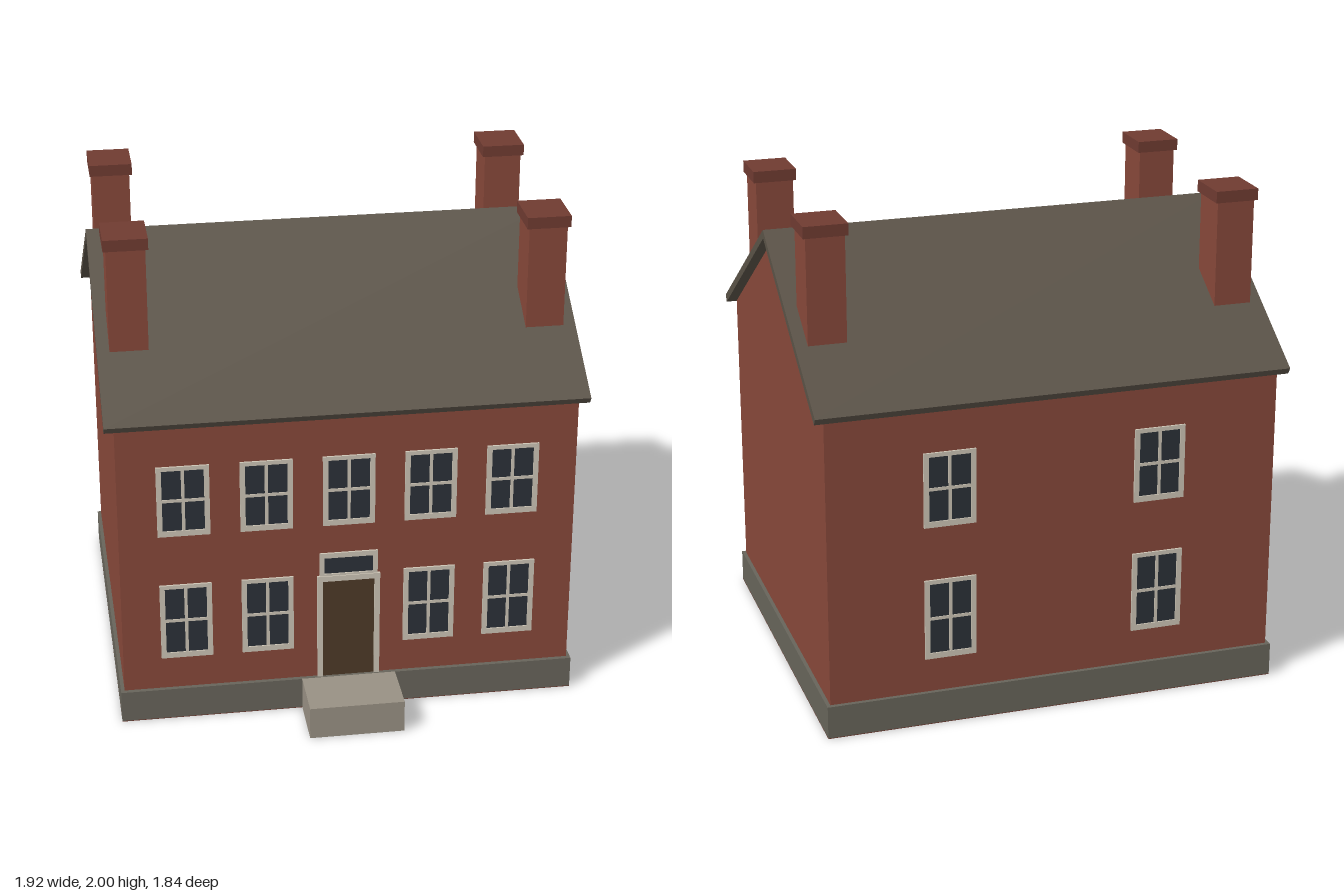
import * as THREE from 'three';

const mat = (color) => new THREE.MeshStandardMaterial({ color });
const brick = mat(0x87483a), darkBrick = mat(0x6f3b31), slate = mat(0x5a5247);
const stone = mat(0x67645a), paleStone = mat(0x989083), trim = mat(0xcdc5b6);
const glass = mat(0x2b3138), timber = mat(0x4e3a27);

const MID_Z = -0.105;   // z of the ridge and centre of the house
const FRONT_Z = 0.67, BACK_Z = -0.88;

function add(parent, name, geometry, material) {
  const mesh = new THREE.Mesh(geometry, material);
  mesh.name = name;
  parent.add(mesh);
  return mesh;
}

// Box given by its lower and upper limits on each axis
function box(parent, name, material, [x0, x1], [y0, y1], [z0, z1]) {
  const mesh = add(parent, name, new THREE.BoxGeometry(x1 - x0, y1 - y0, z1 - z0), material);
  mesh.position.set((x0 + x1) / 2, (y0 + y1) / 2, (z0 + z1) / 2);
  return mesh;
}

// Prism running along x from a profile of [depth, height] points about the ridge
function prism(parent, name, material, points, width) {
  const shape = new THREE.Shape(points.map(([z, y]) => new THREE.Vector2(z, y)));
  const geometry = new THREE.ExtrudeGeometry(shape, { depth: width, bevelEnabled: false });
  geometry.translate(0, 0, -width / 2).rotateY(Math.PI / 2).translate(0, 0, MID_Z);
  return add(parent, name, geometry, material);
}

// Flat rectangular surround with one opening
function frameGeometry(w, y0, y1, iw, iy0, iy1, depth) {
  const rect = (Type, hw, a, b) => new Type([
    new THREE.Vector2(-hw, a), new THREE.Vector2(hw, a),
    new THREE.Vector2(hw, b), new THREE.Vector2(-hw, b)]);
  const shape = rect(THREE.Shape, w / 2, y0, y1);
  shape.holes.push(rect(THREE.Path, iw / 2, iy0, iy1));
  return new THREE.ExtrudeGeometry(shape, { depth, bevelEnabled: false });
}

// Four-pane sash window, sitting on a wall and facing +z
function makeWindow(height) {
  const g = new THREE.Group();
  g.name = 'window';
  const h = height / 2, top = h - 0.017, bottom = -h + 0.024;
  add(g, 'windowFrame', frameGeometry(0.21, -h, h, 0.168, bottom, top, 0.008), trim);
  box(g, 'windowGlass', glass, [-0.086, 0.086], [bottom, top], [-0.01, 0.003]);
  box(g, 'verticalBar', trim, [-0.0065, 0.0065], [bottom, top], [0, 0.006]);
  box(g, 'horizontalBar', trim, [-0.084, 0.084], [-0.003, 0.01], [0, 0.006]);
  return g;
}

export function createModel() {
  const house = new THREE.Group();
  house.name = 'house';

  // Walls with gable ends, on a stone plinth with a brick underside
  prism(house, 'walls', brick,
    [[-0.775, 0.1], [0.775, 0.1], [0.775, 1.32], [0, 1.81], [-0.775, 1.32]], 1.84);
  box(house, 'plinth', stone, [-0.935, 0.935], [0.003, 0.137], [-0.897, 0.688]);
  box(house, 'underside', darkBrick, [-0.935, 0.935], [0, 0.003], [-0.897, 0.688]);
  box(house, 'doorStep', paleStone, [-0.193, 0.193], [0, 0.138], [0.688, 0.92]);

  // Pitched roof in one folded slab, with square-cut eaves
  prism(house, 'roof', slate, [
    [-0.81, 1.34], [-0.793, 1.313], [0, 1.815], [0.793, 1.313], [0.81, 1.34], [0, 1.85]], 1.92);

  // Four chimneys with caps
  for (const x of [-0.833, 0.833]) {
    for (const z of [0.32, -0.532]) {
      const chimney = new THREE.Group();
      chimney.name = 'chimney';
      chimney.position.set(x, 0, z);
      box(chimney, 'chimneyStack', brick, [-0.077, 0.077], [1.4, 1.957], [-0.086, 0.086]);
      box(chimney, 'chimneyCap', darkBrick, [-0.088, 0.088], [1.953, 2], [-0.098, 0.098]);
      house.add(chimney);
    }
  }

  // Windows in two rows; the middle lower bay at the front holds the door
  for (const [y, height] of [[0.99, 0.307], [0.447, 0.335]]) {
    for (let i = -2; i <= 2; i++) {
      if (i === 0 && y < 0.6) continue;
      const w = makeWindow(height);
      w.position.set(i * 0.33, y, FRONT_Z);
      house.add(w);
    }
    for (const x of [-0.43, 0.43]) {
      const w = makeWindow(height);
      w.position.set(x, y, BACK_Z);
      w.rotation.y = Math.PI;
      house.add(w);
    }
  }

  // Front door with posts, lintel and a transom light
  const entrance = new THREE.Group();
  entrance.name = 'entrance';
  entrance.position.z = FRONT_Z;
  box(entrance, 'door', timber, [-0.106, 0.106], [0.137, 0.585], [-0.01, 0.004]);
  for (const s of [-1, 1]) {
    const post = box(entrance, 'doorPost', trim, [-0.0115, 0.0115], [0.137, 0.583], [-0.01, 0.01]);
    post.position.x = s * 0.1165;
  }
  box(entrance, 'lintel', trim, [-0.128, 0.128], [0.583, 0.607], [-0.01, 0.012]);
  add(entrance, 'transomFrame', frameGeometry(0.236, 0.607, 0.71, 0.198, 0.616, 0.688, 0.008), trim);
  box(entrance, 'transomGlass', glass, [-0.1, 0.1], [0.614, 0.69], [-0.01, 0.003]);
  house.add(entrance);

  return house;
}
